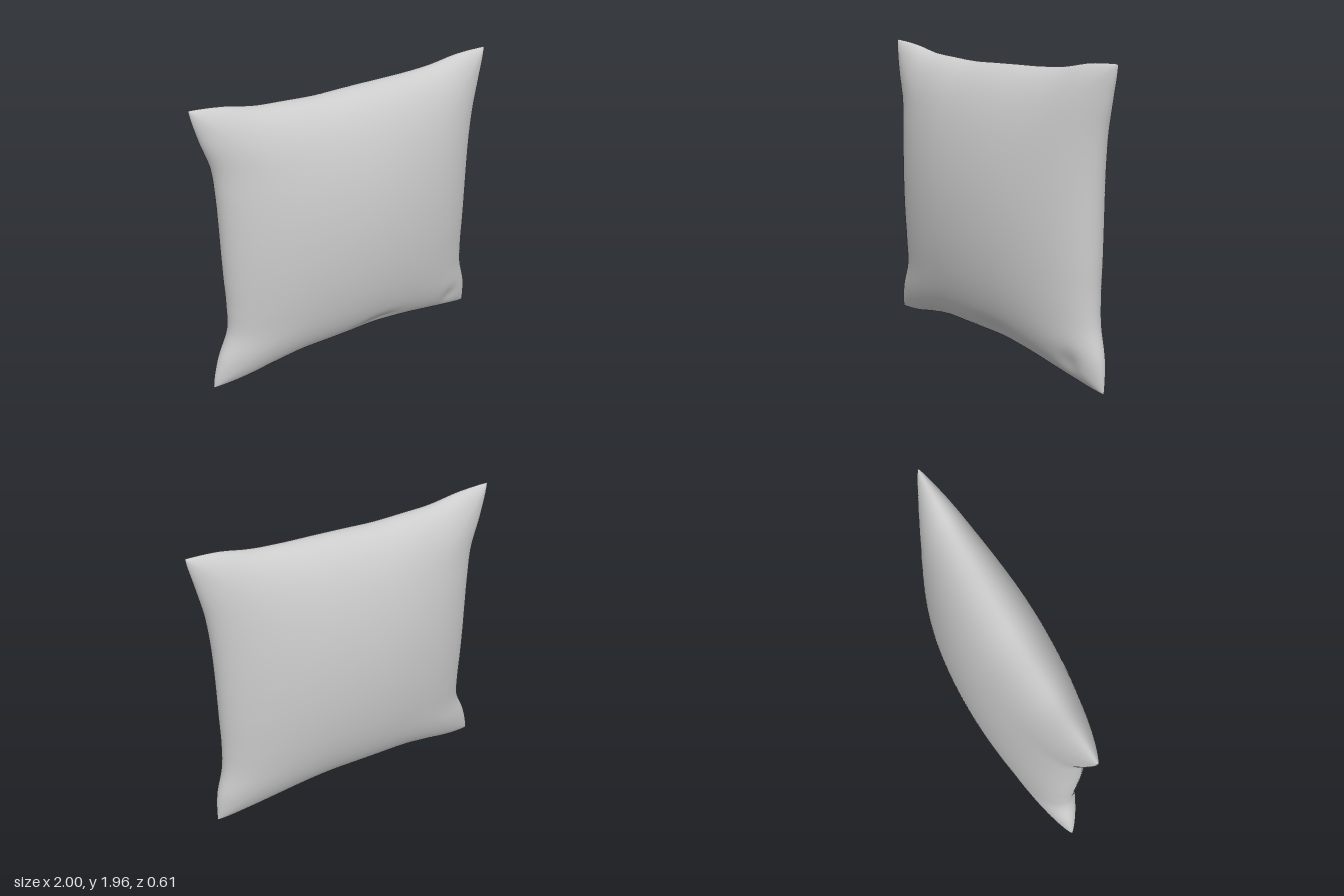
import * as THREE from 'three';
import { mergeGeometries, mergeVertices } from 'three/addons/utils/BufferGeometryUtils.js';

// Smooth curve through evenly spaced values, read with s from -1 to 1
function edge(values) {
  const curve = new THREE.SplineCurve(values.map((v, i) => new THREE.Vector2(i, v)));
  return (s) => curve.getPoint((s + 1) / 2).y;
}

// Seam outline: heights of top and bottom, x of the two sides (bottom to top)
const top = edge([1.96, 1.94, 1.9, 1.885, 1.875, 1.88, 1.885, 1.89, 1.905, 1.94, 1.95]);
const bottom = edge([0.015, 0.04, 0.085, 0.12, 0.13, 0.135, 0.135, 0.115, 0.08, 0.04, 0.005]);
const right = edge([-1, -0.955, -0.875, -0.863, -0.867, -0.87, -0.872, -0.878, -0.895, -0.955, -1]);
const left = edge([0.97, 0.955, 0.905, 0.89, 0.89, 0.89, 0.892, 0.9, 0.92, 0.96, 1]);

const bump = (x, y, cx, cy, rx, ry) => Math.exp(-(((x - cx) / rx) ** 2) - ((y - cy) / ry) ** 2);

// One puffed face; side is 1 for the front, -1 for the back
function face(side) {
  const geo = new THREE.PlaneGeometry(2, 2, 80, 80);
  if (side < 0) geo.rotateY(Math.PI);
  const pos = geo.attributes.position;
  for (let i = 0; i < pos.count; i++) {
    // Crowd the grid lines toward the seam so that it stays round
    const u = Math.sin(pos.getX(i) * Math.PI / 2);
    const v = Math.sin(pos.getY(i) * Math.PI / 2);
    const x = THREE.MathUtils.lerp(right(v), left(v), (u + 1) / 2);
    const y = THREE.MathUtils.lerp(bottom(u), top(u), (v + 1) / 2);
    const a = Math.max(0, 1 - u * u);
    const b = Math.max(0, 1 - v * v);
    let z = 0.285 * a ** 0.5 * b ** (v < 0 ? 0.46 : 0.53);
    z += 0.02 * Math.sqrt(Math.max(0, 1 - Math.max(Math.abs(u), Math.abs(v)) ** 8));
    // Soft creases near the lower front seam
    if (side > 0) {
      z *= 1 - 0.14 * bump(x, y, 0.15, 0.22, 0.13, 0.05) - 0.16 * bump(x, y, 0.78, 0.17, 0.07, 0.08);
    }
    pos.setXYZ(i, x, y, side * z);
  }
  geo.deleteAttribute('normal');
  geo.deleteAttribute('uv');
  return geo;
}

export function createModel() {
  const group = new THREE.Group();
  group.name = 'pillow';
  const fabric = new THREE.MeshStandardMaterial({ color: 0xcccccc });
  fabric.name = 'light grey fabric';

  // Weld both faces along the seam for continuous smooth shading
  const geo = mergeVertices(mergeGeometries([face(1), face(-1)]), 1e-4);
  geo.computeVertexNormals();
  const cushion = new THREE.Mesh(geo, fabric);
  cushion.name = 'cushion';
  group.add(cushion);
  return group;
}
